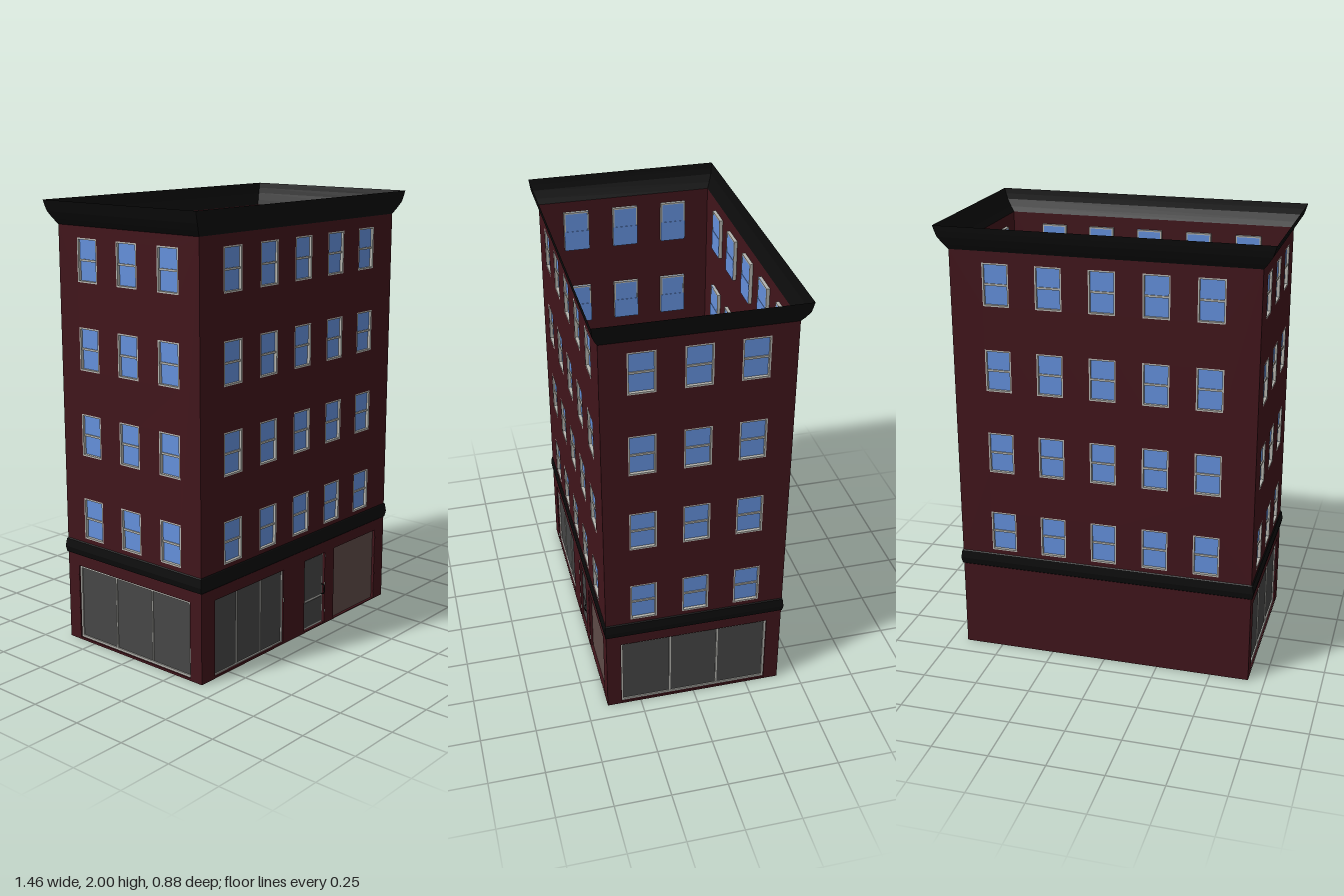
import * as THREE from 'three';

const HX = 0.675, HZ = 0.405; // half width and half depth of the walls
const RECESS = 0.015;

const mat = (color) => new THREE.MeshStandardMaterial({ color, side: THREE.DoubleSide, roughness: 0.9 });
const brick = mat(0x41151b), trim = mat(0x0b0b0b), frameMat = mat(0xb4b4ae);
const blue = mat(0x6490dc), shopGlass = mat(0x464646), panelMat = mat(0x5f4b48);

function mesh(name, geometry, material, x = 0, y = 0, z = 0) {
  const m = new THREE.Mesh(geometry, material);
  m.name = name;
  m.position.set(x, y, z);
  return m;
}

const box = (name, w, h, d, material, x, y, z) =>
  mesh(name, new THREE.BoxGeometry(w, h, d), material, x, y, z);

function rect(target, x, y, w, h) {
  return target.moveTo(x - w / 2, y - h / 2).lineTo(x + w / 2, y - h / 2)
    .lineTo(x + w / 2, y + h / 2).lineTo(x - w / 2, y + h / 2).closePath();
}

// Rectangular ring, t thick inside the w by h outline, d deep
function ring(w, h, t, d) {
  const s = rect(new THREE.Shape(), 0, 0, w, h);
  s.holes.push(rect(new THREE.Path(), 0, 0, w - 2 * t, h - 2 * t));
  return new THREE.ExtrudeGeometry(s, { depth: d, bevelEnabled: false });
}

// Thin wall with rectangular openings
function wall(name, w, y0, y1, openings) {
  const s = rect(new THREE.Shape(), 0, (y0 + y1) / 2, w, y1 - y0);
  for (const o of openings) s.holes.push(rect(new THREE.Path(), o.x, o.y, o.w, o.h));
  return mesh(name, new THREE.ShapeGeometry(s), brick);
}

// Sash window: frame, upper and lower panes, meeting rail
function sashWindow({ x, y, w, h }) {
  const g = new THREE.Group();
  g.name = 'sashWindow';
  g.position.set(x, y, 0);
  g.add(
    mesh('windowFrame', ring(w, h, 0.007, RECESS), frameMat, 0, 0, -RECESS),
    box('upperPane', w - 0.002, h / 2, 0.004, blue, 0, h / 4, -RECESS + 0.003),
    box('lowerPane', w - 0.002, h / 2, 0.002, blue, 0, -h / 4, -RECESS),
    box('meetingRail', w - 0.012, 0.009, 0.008, frameMat, 0, 0, -RECESS + 0.006)
  );
  return g;
}

// Recessed ground floor opening with reveal, glass, frame and bars
function shopOpening(name, o) {
  const g = new THREE.Group();
  g.name = name;
  g.position.set(o.x, o.y, 0);
  g.add(mesh('reveal', ring(o.w + 0.002, o.h + 0.002, 0.002, RECESS), brick, 0, 0, -RECESS - 0.001));
  g.add(box('infill', o.w, o.h, 0.002, o.fill, 0, 0, -RECESS));
  if (o.frame) g.add(mesh('frame', ring(o.w - 0.002, o.h - 0.002, o.frame, 0.006), frameMat, 0, 0, -RECESS + 0.001));
  for (const bx of o.mullions ?? [])
    g.add(box('mullion', 0.007, o.h - 0.01, 0.005, frameMat, bx - o.x, 0, -RECESS + 0.003));
  return g;
}

// Moulding swept round the building; profile rows are [y, outward x, outward z]
function moulding(name, profile) {
  const corners = [[-1, 1], [1, 1], [1, -1], [-1, -1]];
  const pos = [];
  const pt = ([y, ox, oz], [sx, sz]) => [sx * (HX + ox), y, sz * (HZ + oz)];
  for (let i = 0; i < profile.length - 1; i++) {
    for (let c = 0; c < 4; c++) {
      const c2 = corners[(c + 1) % 4];
      const a = pt(profile[i], corners[c]), b = pt(profile[i], c2);
      const d = pt(profile[i + 1], corners[c]), e = pt(profile[i + 1], c2);
      pos.push(...a, ...b, ...e, ...a, ...e, ...d);
    }
  }
  const g = new THREE.BufferGeometry();
  g.setAttribute('position', new THREE.Float32BufferAttribute(pos, 3));
  g.computeVertexNormals();
  return mesh(name, g, trim);
}

// One side of the building, built facing +z
function facade(name, width, columns, shops) {
  const g = new THREE.Group();
  g.name = name;
  const windows = [];
  for (const y of [0.594, 0.98, 1.365, 1.75])
    for (const x of columns) windows.push({ x, y, w: 0.118, h: 0.19 });
  g.add(wall('upperWall', width, 0.48, 1.895, windows));
  g.add(wall('groundFloorWall', width, 0, 0.41, shops));
  for (const o of windows) g.add(sashWindow(o));
  for (const o of shops) g.add(shopOpening(o.name, o));
  return g;
}

export function createModel() {
  const model = new THREE.Group();
  model.name = 'building';
  const wide = [-0.47, -0.235, 0, 0.235, 0.468], narrow = [-0.233, 0, 0.233];

  // Front with shop window, door and blank panel
  const door = { name: 'door', x: 0.116, y: 0.181, w: 0.158, h: 0.35, fill: frameMat };
  const front = facade('frontSide', HX * 2, wide, [
    { name: 'shopWindow', x: -0.353, y: 0.183, w: 0.472, h: 0.35, fill: shopGlass, frame: 0.005, mullions: [-0.433, -0.27] },
    door,
    { name: 'blankPanel', x: 0.435, y: 0.181, w: 0.34, h: 0.356, fill: panelMat }
  ]);
  front.position.z = HZ;
  front.add(
    box('doorUpperGlass', 0.138, 0.198, 0.004, shopGlass, door.x, 0.249, -RECESS + 0.002),
    box('doorLowerGlass', 0.138, 0.124, 0.004, shopGlass, door.x, 0.078, -RECESS + 0.002)
  );
  const handle = new THREE.CatmullRomCurve3([[0, 0.025, -0.012], [0, 0.02, 0.002], [0, -0.02, 0.002], [0, -0.025, -0.012]]
    .map((p) => new THREE.Vector3(...p)));
  front.add(mesh('doorHandle', new THREE.TubeGeometry(handle, 12, 0.003, 6), trim, 0.185, 0.175, 0));
  model.add(front);

  // Plain back
  const back = facade('backSide', HX * 2, wide, []);
  back.rotation.y = Math.PI;
  back.position.z = -HZ;
  model.add(back);

  // Left and right sides with a large shop window each
  for (const s of [-1, 1]) {
    const side = facade(s > 0 ? 'leftSide' : 'rightSide', HZ * 2, narrow, [
      { name: 'sideShopWindow', x: 0, y: 0.184, w: 0.68, h: 0.35, fill: shopGlass, frame: 0.01, mullions: [-0.11, 0.11] }
    ]);
    side.rotation.y = s * Math.PI / 2;
    side.position.x = s * HX;
    model.add(side);
  }

  // Belt course above the shops and flared open cornice
  model.add(moulding('beltCourse', [[0.41, 0, 0], [0.413, 0.006, 0.003], [0.44, 0.011, 0.007], [0.476, 0.005, 0.003], [0.48, 0, 0]]));
  model.add(moulding('cornice', [[1.895, 0, 0], [1.918, 0.018, 0.012], [1.95, 0.039, 0.026], [1.975, 0.048, 0.03], [2.0, 0.055, 0.033]]));
  return model;
}
